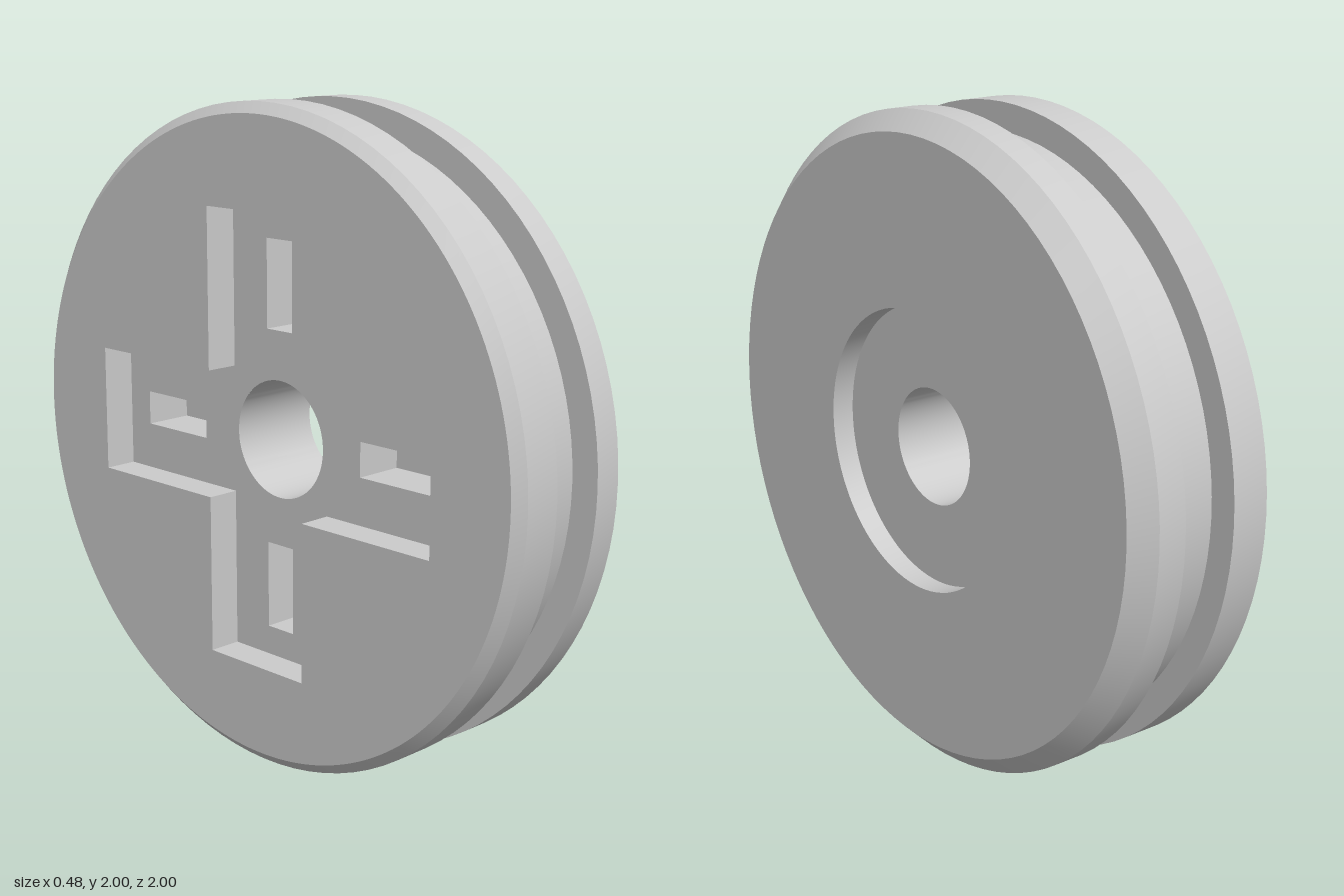
import * as THREE from 'three';
import { toCreasedNormals } from 'three/addons/utils/BufferGeometryUtils.js';

const SEG = 96;
const FACE = -0.24;    // outer plane of the slotted side
const FLOOR = -0.135;  // floor of the cross recess
const POCKET = 0.02;   // floor of the four small pockets
const BORE = 0.18;
const ARM = 0.69, HALF = 0.197;

const material = new THREE.MeshStandardMaterial({ color: 0xcccccc });

// Counter-clockwise outlines, drawn in the (z, y) plane
const v = (x, y) => new THREE.Vector2(x, y);
const turn = (p, i) => p.clone().rotateAround(v(0, 0), (i * Math.PI) / 2);
const quarters = [0, 1, 2, 3];

const cross = quarters.flatMap((i) =>
  [v(HALF, -HALF), v(ARM, -HALF), v(ARM, HALF)].map((p) => turn(p, i)));

const pockets = quarters.map((i) =>
  [v(0.33, -0.053), v(0.6, -0.053), v(0.6, 0.053), v(0.33, 0.053)].map((p) => turn(p, i)));

const circlePath = (r) => new THREE.Path().absarc(0, 0, r, 0, Math.PI * 2, false);

// Flat plate facing -x at the given depth
function plate(shape, x) {
  return new THREE.ShapeGeometry(shape, SEG).rotateY(-Math.PI / 2).translate(x, 0, 0);
}

// Inward-facing walls that follow an outline from x0 down to x1
function walls(outline, x0, x1) {
  const pos = [];
  outline.forEach((a, i) => {
    const b = outline[(i + 1) % outline.length];
    const A = [x0, a.y, a.x], B = [x0, b.y, b.x];
    const C = [x1, b.y, b.x], D = [x1, a.y, a.x];
    pos.push(...A, ...B, ...C, ...A, ...C, ...D);
  });
  const g = new THREE.BufferGeometry();
  g.setAttribute('position', new THREE.Float32BufferAttribute(pos, 3));
  g.computeVertexNormals();
  return g;
}

export function createModel() {
  const wheel = new THREE.Group();
  wheel.name = 'groovedWheel';
  wheel.position.y = 1;

  const add = (name, geometry) => {
    const mesh = new THREE.Mesh(geometry, material);
    mesh.name = name;
    wheel.add(mesh);
  };

  // Turned body: bevelled rims, groove, round recess and bore (radius, x)
  const profile = [
    [0.967, FACE], [1, -0.21], [1, -0.088], [0.915, -0.088], [0.915, 0.088],
    [1, 0.088], [1, 0.18], [0.94, 0.24], [0.43, 0.24], [0.43, 0.168],
    [BORE, 0.168], [BORE, FLOOR],
  ].map(([r, x]) => v(r, x));
  const body = new THREE.LatheGeometry(profile, SEG).rotateZ(-Math.PI / 2);
  add('wheelBody', toCreasedNormals(body, 0.5));

  // Side face with the cross cut out of it
  const face = new THREE.Shape().absarc(0, 0, 0.967, 0, Math.PI * 2, false);
  face.holes.push(new THREE.Path(cross));
  add('slottedFace', plate(face, FACE));
  add('crossWalls', walls(cross, FACE, FLOOR));

  // Cross floor, pierced by the bore and the pockets
  const floor = new THREE.Shape(cross);
  floor.holes.push(circlePath(BORE), ...pockets.map((p) => new THREE.Path(p)));
  add('crossFloor', plate(floor, FLOOR));

  // Small pocket in each arm
  pockets.forEach((p) => {
    add('pocketWalls', walls(p, FLOOR, POCKET));
    add('pocketFloor', plate(new THREE.Shape(p), POCKET));
  });

  const model = new THREE.Group();
  model.name = 'model';
  model.add(wheel);
  return model;
}
